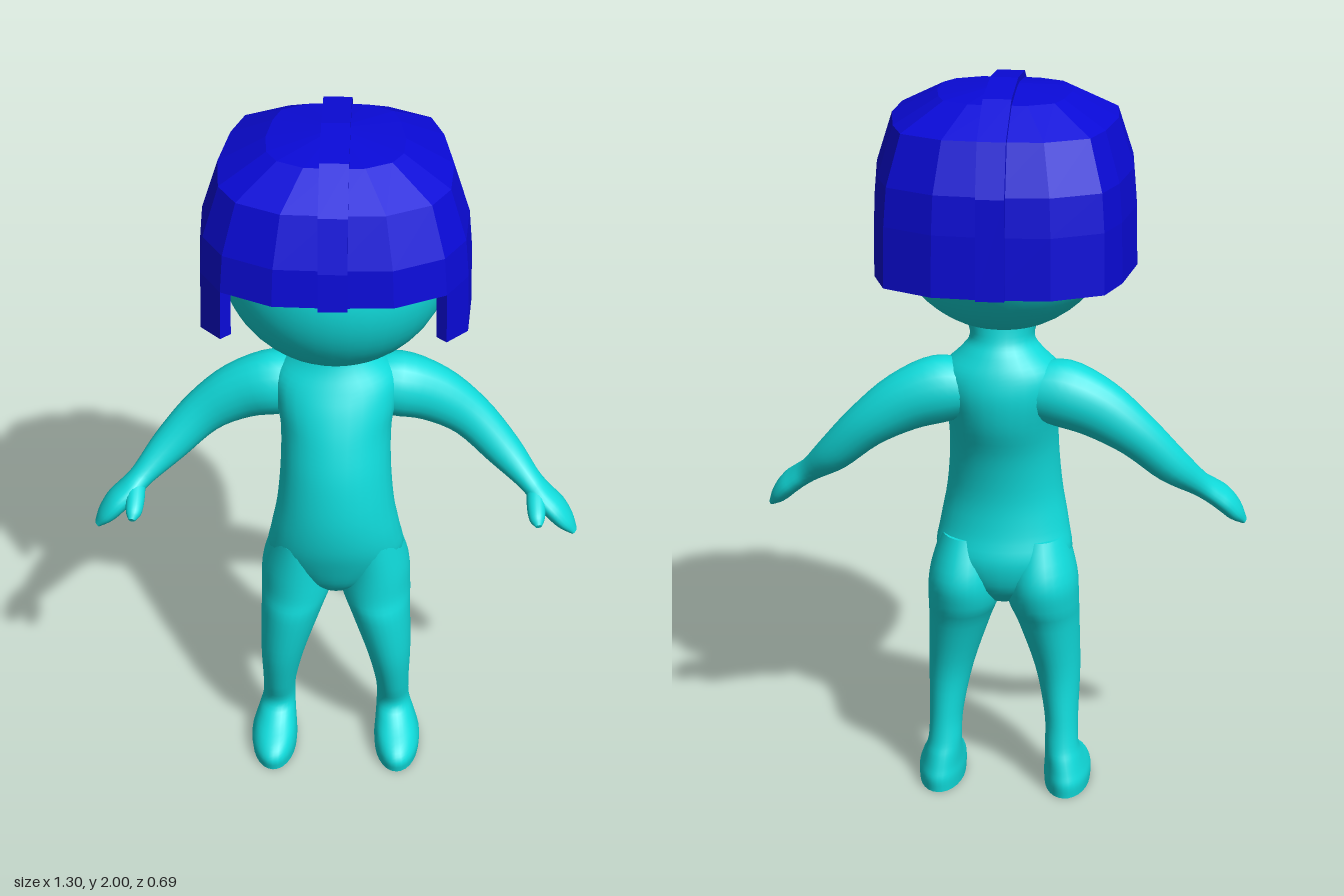
import * as THREE from 'three';

const V = (x, y, z) => new THREE.Vector3(x, y, z);
const skin = new THREE.MeshStandardMaterial({ color: 0x10dcdc });
const blue = new THREE.MeshStandardMaterial({ color: 0x0a0ad8, flatShading: true, side: THREE.DoubleSide });

function part(name, geometry, material) {
  const mesh = new THREE.Mesh(geometry, material);
  mesh.name = name;
  return mesh;
}

// Smooth skin through elliptical rings { c, u, v }, where u x v points along the path; both ends capped
function loft(rings, sides = 28, steps = 4) {
  const curve = (k) => new THREE.CatmullRomCurve3(rings.map((r) => r[k]), false, 'catmullrom', 0.5);
  const [C, U, W] = ['c', 'u', 'v'].map(curve);
  const n = (rings.length - 1) * steps;
  const pos = [], index = [];
  const addRing = (t) => {
    const c = C.getPoint(t), u = U.getPoint(t), v = W.getPoint(t);
    for (let j = 0; j < sides; j++) {
      const a = (j / sides) * Math.PI * 2;
      const p = c.clone().addScaledVector(u, Math.cos(a)).addScaledVector(v, Math.sin(a));
      pos.push(p.x, p.y, p.z);
    }
    return c;
  };
  for (let i = 0; i <= n; i++) addRing(i / n);
  for (let i = 0; i < n; i++) {
    for (let j = 0; j < sides; j++) {
      const a = i * sides + j, b = i * sides + ((j + 1) % sides);
      index.push(a, b, b + sides, a, b + sides, a + sides);
    }
  }
  for (const end of [0, 1]) {
    const start = pos.length / 3;
    const c = addRing(end);
    pos.push(c.x, c.y, c.z);
    for (let j = 0; j < sides; j++) {
      const a = start + j, b = start + ((j + 1) % sides);
      index.push(start + sides, ...(end ? [a, b] : [b, a]));
    }
  }
  const g = new THREE.BufferGeometry();
  g.setAttribute('position', new THREE.Float32BufferAttribute(pos, 3));
  g.setIndex(index);
  g.computeVertexNormals();
  return g;
}

// Horizontal rings, bottom to top: [y, centre x, half width, front z, back z]
const upright = (rows, s = 1) => loft(rows.map(([y, x, w, f, b]) => (
  { c: V(s * x, y, (f + b) / 2), u: V(0, 0, (f - b) / 2), v: V(w, 0, 0) })));

// Rings square to a path: [x, y, z, half width along dir, half thickness]
function limb(rows, s, dir) {
  const pts = rows.map(([x, y, z]) => V(s * x, y, z));
  return loft(rows.map(([, , , w, h], i) => {
    const t = pts[Math.min(i + 1, pts.length - 1)].clone().sub(pts[Math.max(i - 1, 0)]).normalize();
    const u = dir.clone().addScaledVector(t, -dir.dot(t)).normalize();
    return { c: pts[i], u: u.clone().multiplyScalar(w), v: t.clone().cross(u).multiplyScalar(h) };
  }), 20);
}

const TORSO = [
  [0.57, 0, 0.06, 0.05, -0.06], [0.62, 0, 0.13, 0.095, -0.11], [0.7, 0, 0.183, 0.13, -0.13],
  [0.78, 0, 0.175, 0.155, -0.115], [0.88, 0, 0.157, 0.165, -0.11], [1.0, 0, 0.147, 0.155, -0.13],
  [1.1, 0, 0.148, 0.13, -0.165], [1.18, 0, 0.163, 0.1, -0.178], [1.24, 0, 0.16, 0.07, -0.17],
  [1.29, 0, 0.112, 0.045, -0.15], [1.33, 0, 0.085, 0.035, -0.13], [1.39, 0, 0.1, 0.04, -0.12],
];
const LEG = [
  [0, 0.176, 0.063, 0.16, -0.105], [0.035, 0.176, 0.065, 0.165, -0.108], [0.065, 0.173, 0.06, 0.14, -0.1],
  [0.1, 0.168, 0.052, 0.075, -0.09], [0.14, 0.163, 0.046, 0.035, -0.077], [0.22, 0.16, 0.047, 0.062, -0.067],
  [0.35, 0.148, 0.062, 0.1, -0.067], [0.5, 0.122, 0.085, 0.12, -0.105], [0.57, 0.109, 0.097, 0.114, -0.133],
  [0.65, 0.106, 0.095, 0.115, -0.143], [0.76, 0.098, 0.072, 0.12, -0.1],
];
const ARM = [
  [0.06, 1.19, -0.07, 0.07, 0.07], [0.16, 1.183, -0.075, 0.083, 0.09], [0.26, 1.145, -0.085, 0.07, 0.08],
  [0.36, 1.075, -0.083, 0.057, 0.062], [0.45, 0.985, -0.055, 0.05, 0.05], [0.52, 0.92, -0.01, 0.04, 0.033],
  [0.555, 0.89, 0.015, 0.05, 0.03], [0.59, 0.86, 0.032, 0.055, 0.03], [0.62, 0.825, 0.042, 0.045, 0.024],
  [0.645, 0.795, 0.05, 0.02, 0.009],
];
const THUMB = [
  [0.538, 0.905, 0.02, 0.025, 0.022], [0.538, 0.885, 0.065, 0.025, 0.022],
  [0.54, 0.868, 0.1, 0.021, 0.019], [0.544, 0.858, 0.12, 0.009, 0.008],
];

// Faceted helmet: half outline [x, z] from front to back, and rows [y, scale] from rim to crown
const HALF = [[0, 0.33], [0.15, 0.325], [0.28, 0.262], [0.335, 0.17], [0.346, 0.02],
  [0.318, -0.155], [0.28, -0.26], [0.15, -0.325], [0, -0.335]];
const OUTLINE = [...HALF, ...HALF.slice(1, -1).reverse().map(([x, z]) => [-x, z])];
const ROWS = [[1.51, 1], [1.67, 0.99], [1.77, 0.965], [1.9, 0.845], [1.965, 0.5], [1.987, 0]];

function helmetShell() {
  const n = OUTLINE.length, pos = [];
  const point = (i, j, inner) => {
    const [x, z] = OUTLINE[j % n], [y, k] = ROWS[i];
    const flapCorner = i === 0 && (j === 2 || j === n - 2) ? 0.025 : 0;
    const s = inner ? k * 0.91 : k;
    return V(x * s, y + flapCorner - (inner ? Math.max(0, y - 1.67) * 0.08 : 0), z * s);
  };
  const quad = (a, b, c, d) => [a, b, c, a, c, d].forEach((p) => pos.push(p.x, p.y, p.z));
  for (let j = 0; j < n; j++) {
    // The face opening starts one row higher
    const first = j < 2 || j >= n - 2 ? 1 : 0;
    for (let i = first; i < ROWS.length - 1; i++) {
      quad(point(i, j), point(i, j + 1), point(i + 1, j + 1), point(i + 1, j));
      quad(point(i, j + 1, 1), point(i, j, 1), point(i + 1, j, 1), point(i + 1, j + 1, 1));
    }
    quad(point(first, j + 1), point(first, j), point(first, j, 1), point(first, j + 1, 1));
  }
  // Front edges of the cheek flaps
  quad(point(0, 2), point(1, 2), point(1, 2, 1), point(0, 2, 1));
  quad(point(1, n - 2), point(0, n - 2), point(0, n - 2, 1), point(1, n - 2, 1));
  const g = new THREE.BufferGeometry();
  g.setAttribute('position', new THREE.Float32BufferAttribute(pos, 3));
  g.computeVertexNormals();
  return g;
}

// Raised band over the middle of the helmet, [z, y] from brim to nape
function helmetBand() {
  const outer = [[0.343, 1.67], [0.334, 1.77], [0.3, 1.905], [0.17, 1.982], [0, 2],
    [-0.17, 1.982], [-0.302, 1.905], [-0.343, 1.77], [-0.347, 1.51]];
  const inner = outer.map(([z, y]) => [z * 0.9, y > 1.7 ? y - 0.04 * (y - 1.7) / 0.3 : y]).reverse();
  const shape = new THREE.Shape([...outer, ...inner].map(([z, y]) => new THREE.Vector2(z, y)));
  const g = new THREE.ExtrudeGeometry(shape, { depth: 0.072, bevelEnabled: false });
  return g.rotateY(-Math.PI / 2).translate(0.036, 0, 0);
}

export function createModel() {
  const model = new THREE.Group();
  model.name = 'helmetedFigure';

  const head = part('head', new THREE.SphereGeometry(0.3, 40, 28), skin);
  head.scale.z = 1.02;
  head.position.set(0, 1.642, -0.006);
  model.add(head, part('torso', upright(TORSO), skin));

  for (const [side, s] of [['left', 1], ['right', -1]]) {
    model.add(
      part(side + 'Leg', upright(LEG, s), skin),
      part(side + 'Arm', limb(ARM, s, V(0, 0, 1)), skin),
      part(side + 'Thumb', limb(THUMB, s, V(1, 0, 0)), skin),
    );
  }

  const helmet = new THREE.Group();
  helmet.name = 'helmet';
  helmet.add(part('helmetShell', helmetShell(), blue), part('helmetBand', helmetBand(), blue));
  model.add(helmet);
  return model;
}
